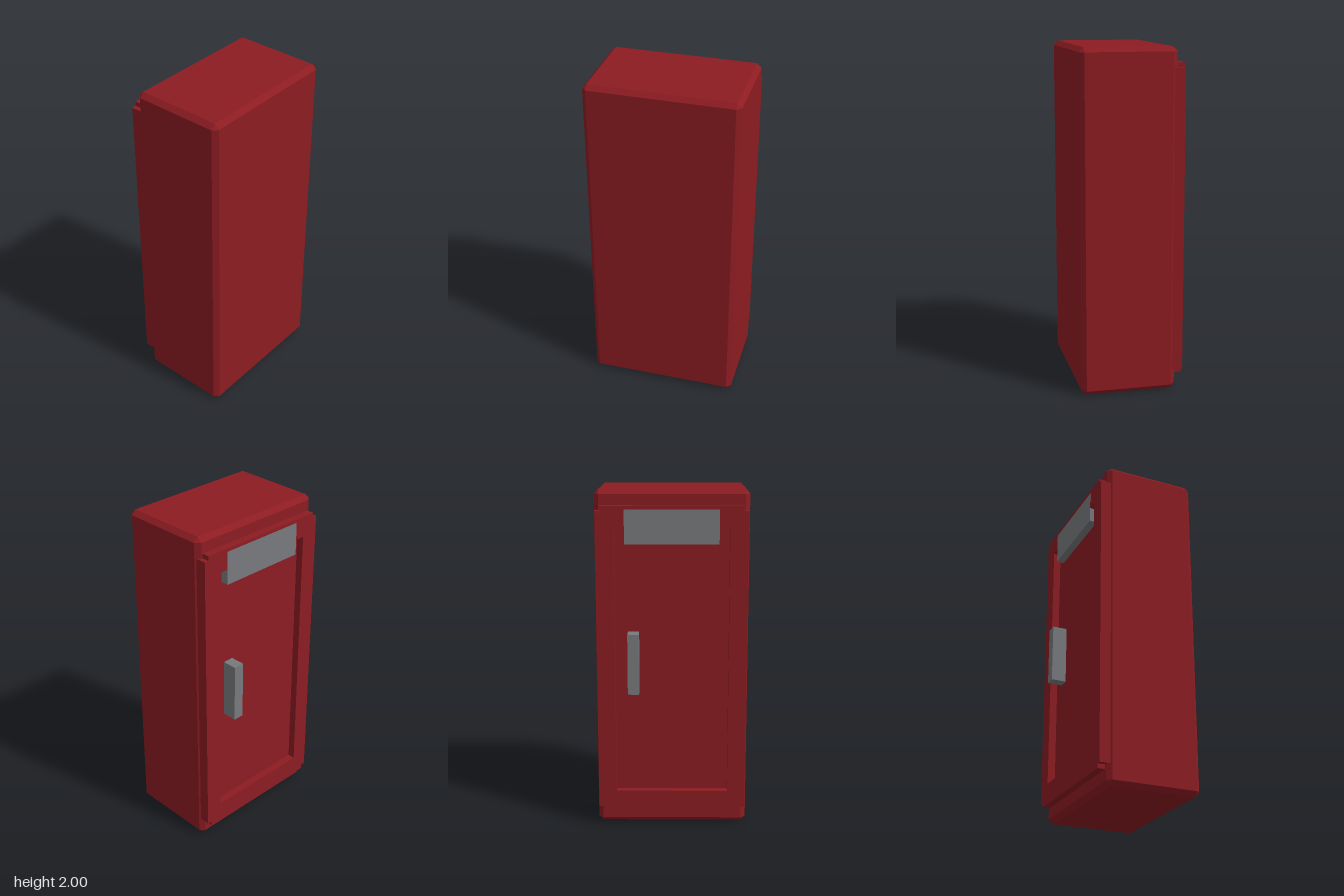
import * as THREE from 'three';
import { ConvexGeometry } from 'three/addons/geometries/ConvexGeometry.js';

const red = new THREE.MeshStandardMaterial({ color: 0x8c1c22, flatShading: true });
const grey = new THREE.MeshStandardMaterial({ color: 0x777a7d, flatShading: true });

// Box with every edge and corner cut by c, spanning min to max
function chamferedBox(min, max, c) {
  const points = [];
  for (let i = 0; i < 8; i++) {
    const side = [i & 1, (i >> 1) & 1, (i >> 2) & 1];
    for (let axis = 0; axis < 3; axis++) {
      const p = side.map((s, k) => {
        const inset = k === axis ? 0 : c;
        return s ? max[k] - inset : min[k] + inset;
      });
      points.push(new THREE.Vector3(...p));
    }
  }
  return new ConvexGeometry(points);
}

// Plain box spanning min to max
function box(min, max) {
  const size = max.map((v, k) => v - min[k]);
  return new THREE.BoxGeometry(...size)
    .translate(...max.map((v, k) => (v + min[k]) / 2));
}

// Door surround: notched corners outside, rectangular opening inside
function doorFrame() {
  const w = 0.435, h = 0.91, n = 0.027;
  const quarter = [[w, h - n], [w - n, h - n], [w - n, h]];
  const outline = [];
  for (const [sx, sy] of [[1, 1], [-1, 1], [-1, -1], [1, -1]]) {
    const corner = quarter.map(([x, y]) => new THREE.Vector2(x * sx, y * sy));
    outline.push(...(sx * sy > 0 ? corner : corner.reverse()));
  }
  const shape = new THREE.Shape(outline);
  const ow = 0.33, oh = 0.785;
  shape.holes.push(new THREE.Path([
    new THREE.Vector2(-ow, -oh), new THREE.Vector2(-ow, oh),
    new THREE.Vector2(ow, oh), new THREE.Vector2(ow, -oh),
  ]));
  return new THREE.ExtrudeGeometry(shape, { depth: 0.075, bevelEnabled: false })
    .translate(0, 1, -0.28);
}

export function createModel() {
  const group = new THREE.Group();
  group.name = 'cabinet';
  const add = (name, geometry, material) => {
    const mesh = new THREE.Mesh(geometry, material);
    mesh.name = name;
    group.add(mesh);
  };

  add('cabinetBody', chamferedBox([-0.443, 0, -0.235], [0.443, 2, 0.322], 0.027), red);
  add('doorFrame', doorFrame(), red);
  // Plate across the top of the recess, just proud of the frame
  add('headerPlate', box([-0.27, 1.695, -0.281], [0.27, 1.89, -0.23]), grey);
  add('doorHandle', box([0.19, 0.825, -0.324], [0.255, 1.18, -0.23]), grey);
  return group;
}
